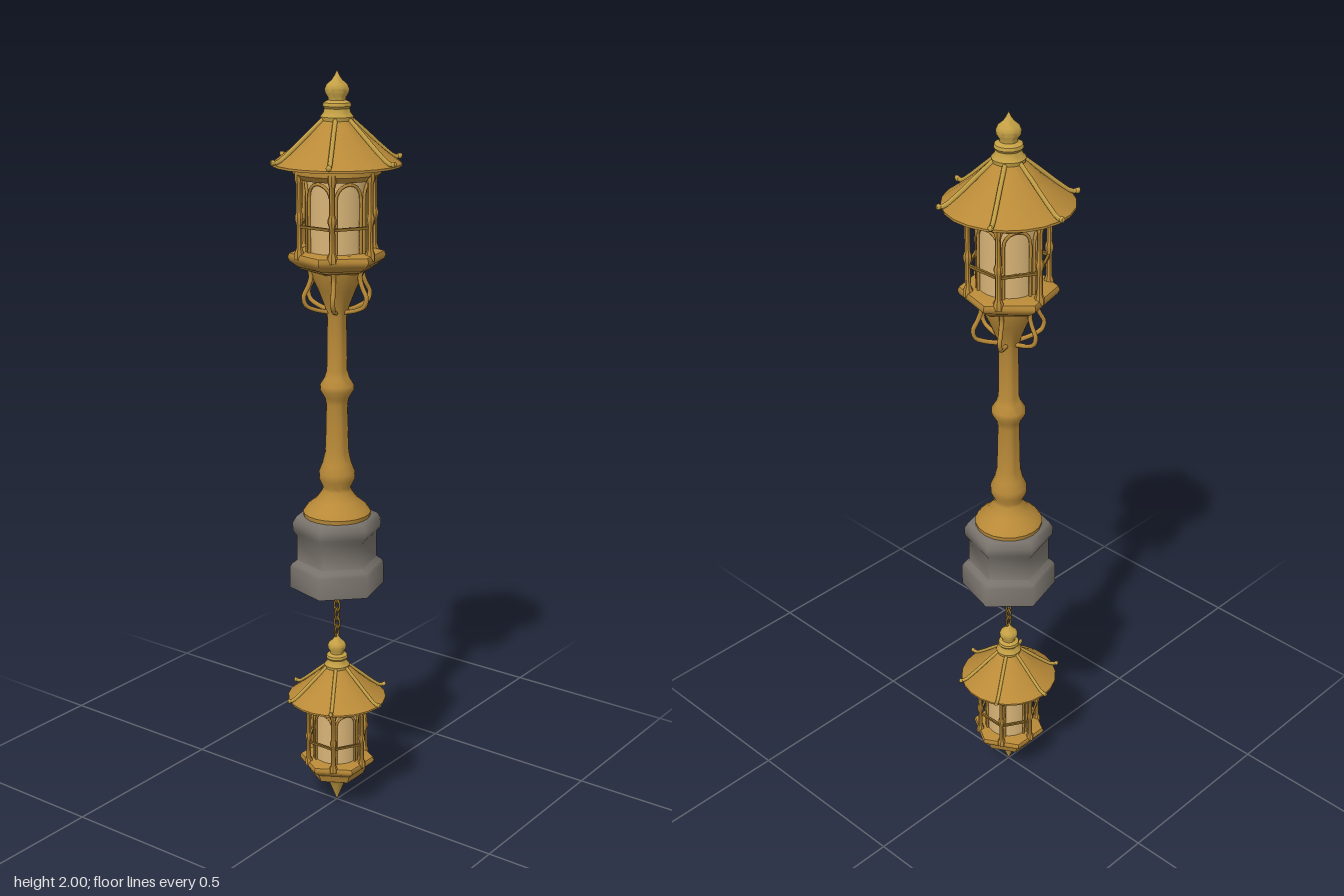
import * as THREE from 'three';
import { toCreasedNormals } from 'three/addons/utils/BufferGeometryUtils.js';

const mat = (name, color, side = THREE.FrontSide) => {
  const m = new THREE.MeshStandardMaterial({ color, side });
  m.name = name;
  return m;
};

export function createModel() {
  const brass = mat('brass', 0xb98a38, THREE.DoubleSide);
  const trim = mat('bright brass', 0xc4a045);
  const bronze = mat('dark brass', 0x8f6a26);
  const glass = mat('warm glass', 0xd8b477);
  const stone = mat('stone', 0x79736c);

  const SIXTH = Math.PI / 3;
  const v = (x, y, z = 0) => new THREE.Vector3(x, y, z);

  const add = (parent, name, geometry, material) => {
    const mesh = new THREE.Mesh(geometry, material);
    mesh.name = name;
    parent.add(mesh);
    return mesh;
  };
  // Turned part from [radius, y] pairs, listed bottom to top
  const turned = (points, sides = 24, start = 0, crease = 0.7) =>
    toCreasedNormals(new THREE.LatheGeometry(
      points.map(([r, y]) => new THREE.Vector2(r, y)), sides, start), crease);
  const tube = (points, radius, segments = 12) =>
    new THREE.TubeGeometry(new THREE.CatmullRomCurve3(points), segments, radius, 6);
  // Six copies around the axis, the first facing +z
  const ring = (parent, name, geometry, material, offset = 0) => {
    for (let i = 0; i < 6; i++) add(parent, name, geometry, material).rotation.y = offset + i * SIXTH;
  };

  // Lantern head with its origin at the eave level
  function lantern(name, baseStart) {
    const g = new THREE.Group();
    g.name = name;

    add(g, 'finial', turned([[0, 0.1], [0.04, 0.1], [0.042, 0.112], [0.034, 0.122], [0.032, 0.132],
      [0.036, 0.138], [0.034, 0.146], [0.022, 0.152], [0.022, 0.158], [0.03, 0.17], [0.031, 0.179],
      [0.026, 0.19], [0.014, 0.2], [0.007, 0.21], [0, 0.225]]), trim);
    add(g, 'roof', turned([[0.163, -0.008], [0.163, -0.002], [0.125, 0.026], [0.08, 0.064],
      [0.035, 0.108]], 22), brass);
    add(g, 'roofUnderside', turned([[0.1, -0.012], [0.163, -0.008]], 22), brass);

    // Ribs overhanging the eave
    ring(g, 'roofRib', tube([v(0, 0.108, 0.035), v(0, 0.07, 0.08), v(0, 0.03, 0.126),
      v(0, 0.006, 0.16), v(0, 0.008, 0.178)], 0.006), trim);
    ring(g, 'ribEnd', new THREE.SphereGeometry(0.0075, 8, 6).translate(0, 0.006, 0.172), trim);

    // Ceiling collar and glass
    add(g, 'collar', turned([[0, -0.04], [0.098, -0.04], [0.112, -0.026], [0.112, -0.014],
      [0.1, -0.006], [0, -0.006]], 24), brass);
    add(g, 'glass', new THREE.CylinderGeometry(0.075, 0.075, 0.2, 24, 1, true).translate(0, -0.13, 0), glass);

    // Posts with turned feet and caps
    ring(g, 'post', turned([[0.013, -0.238], [0.013, -0.222], [0.008, -0.21], [0.0075, -0.15],
      [0.011, -0.138], [0.011, -0.128], [0.0075, -0.118], [0.0075, -0.05], [0.012, -0.036],
      [0.012, -0.02]], 8).translate(0, 0, 0.103), brass);

    // Arched window frames wrapped around the glass
    const arch = [];
    const onGlass = (a, y) => v(0.079 * Math.sin(a), y, 0.079 * Math.cos(a));
    arch.push(onGlass(-0.44, -0.228), onGlass(-0.44, -0.15));
    for (let i = 0; i <= 8; i++) {
      const t = Math.PI * (1 - i / 8);
      arch.push(onGlass(0.44 * Math.cos(t), -0.085 + 0.038 * Math.sin(t)));
    }
    arch.push(onGlass(0.44, -0.15), onGlass(0.44, -0.228));
    ring(g, 'windowArch', tube(arch, 0.004, 36), brass, SIXTH / 2);

    // Rails between the posts
    ring(g, 'rail', new THREE.BoxGeometry(0.103, 0.007, 0.007).translate(0, -0.155, 0.089), bronze, SIXTH / 2);

    // Six-sided floor
    add(g, 'floor', turned([[0, -0.262], [0.1, -0.262], [0.122, -0.246], [0.126, -0.236],
      [0.122, -0.226], [0.108, -0.222], [0, -0.222]], 6, baseStart), brass);
    return g;
  }

  const model = new THREE.Group();
  model.name = 'lampPost';

  // Standing lamp
  const top = lantern('upperLantern', Math.PI / 4);
  top.position.y = 1.775;
  model.add(top);

  add(model, 'floorMoulding', turned([[0.072, 1.5], [0.094, 1.508], [0.1, 1.52]], 6, Math.PI / 4), brass);
  add(model, 'pole', turned([[0.088, 0.842], [0.09, 0.856], [0.08, 0.87], [0.056, 0.89], [0.038, 0.915],
    [0.037, 0.925], [0.047, 0.945], [0.048, 0.965], [0.038, 0.99], [0.031, 1.02], [0.028, 1.15],
    [0.032, 1.168], [0.044, 1.188], [0.044, 1.202], [0.032, 1.222], [0.027, 1.24], [0.025, 1.38],
    [0.032, 1.41], [0.05, 1.455], [0.072, 1.5], [0.074, 1.515]], 20), brass);

  // Curved brackets below the lantern
  ring(model, 'bracket', tube([v(0, 1.515, 0.078), v(0, 1.49, 0.072), v(0, 1.465, 0.08), v(0, 1.44, 0.092),
    v(0, 1.418, 0.086), v(0, 1.405, 0.062), v(0, 1.395, 0.024)], 0.006, 20), brass);

  // Six-sided plinth
  add(model, 'plinth', turned([[0, 0.645], [0.127, 0.645], [0.127, 0.703], [0.122, 0.712], [0.108, 0.722],
    [0.107, 0.79], [0.118, 0.805], [0.119, 0.828], [0.109, 0.845], [0, 0.845]], 6, Math.PI / 4, 1.2), stone);

  // Hanging lamp
  const hanging = lantern('hangingLantern', Math.PI / 6);
  hanging.scale.setScalar(0.82);
  hanging.position.y = 0.322;
  model.add(hanging);

  add(hanging, 'bowl', turned([[0, -0.305], [0.055, -0.305], [0.09, -0.288], [0.1, -0.262]], 6, Math.PI / 6), brass);
  add(hanging, 'dropSpike', turned([[0, -0.392], [0.008, -0.372], [0.026, -0.325], [0.034, -0.312],
    [0.03, -0.3], [0, -0.3]]), trim);

  // Chain, links turned a quarter each time
  for (let i = 0; i < 5; i++) {
    const link = add(model, 'chainLink', new THREE.TorusGeometry(0.009, 0.003, 6, 12), bronze);
    link.scale.y = 1.7;
    link.position.y = 0.51 + i * 0.025;
    link.rotation.y = (i % 2) * Math.PI / 2;
  }
  return model;
}
